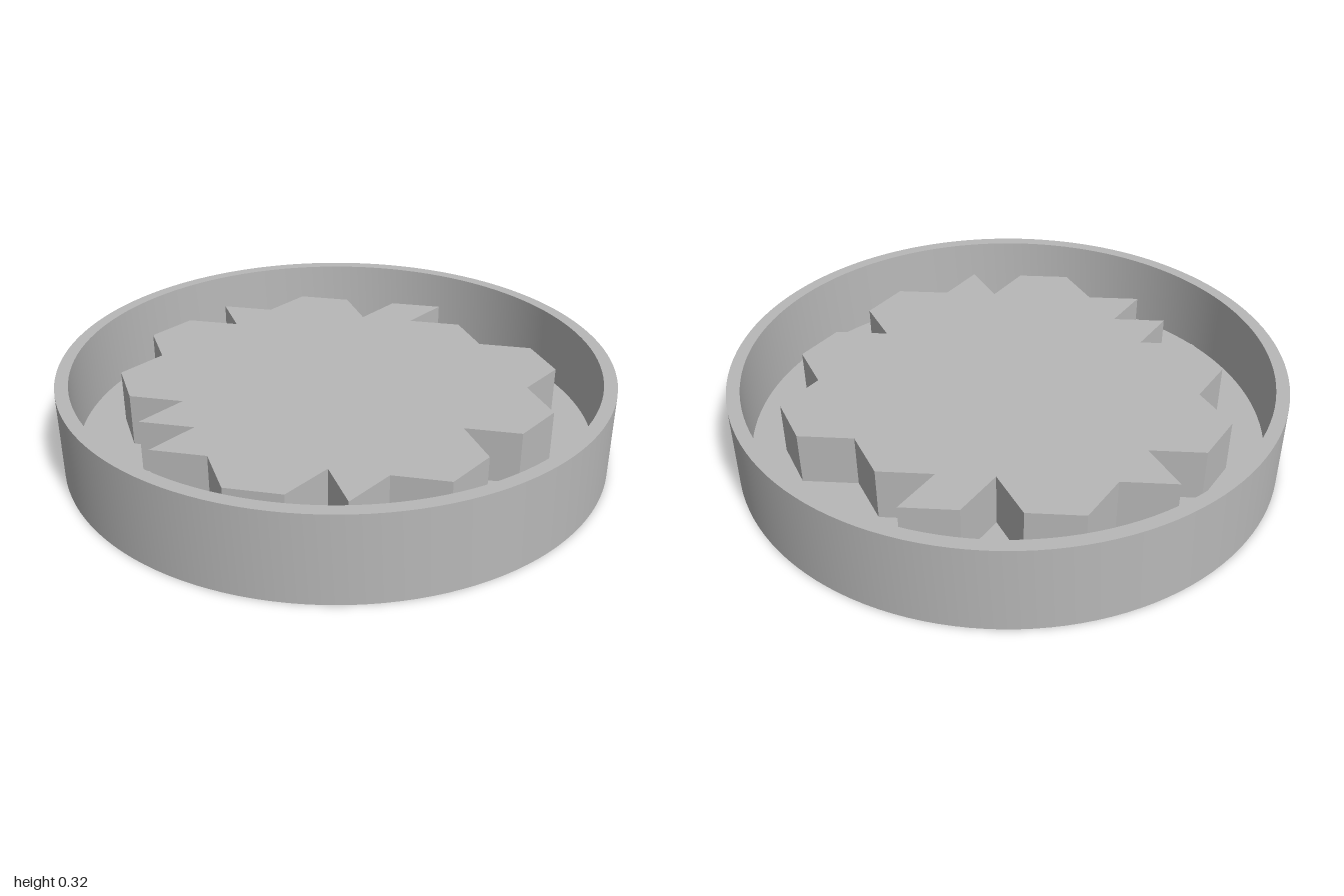
import * as THREE from 'three';
import { toCreasedNormals } from 'three/addons/utils/BufferGeometryUtils.js';

const HEIGHT = 0.32, FLOOR = 0.05, PLATEAU_TOP = 0.245;
const STEP = 0.0989;                 // half the side of the triangular lattice
const ROW = STEP * Math.sqrt(3);     // lattice row spacing
const FIRST_ROW = -0.744;            // z of the rearmost row

// Plateau outline as [column, row] on the triangular lattice
const OUTLINE = [
  [-3, 0], [-1, 0], [0, 1], [1, 0], [3, 0], [2, 1], [4, 1], [5, 2], [7, 2],
  [8, 3], [7, 4], [8, 5], [7, 6], [5, 6], [6, 7], [5, 8], [3, 8], [2, 9],
  [1, 8], [0, 9], [-2, 9], [-3, 8], [-5, 8], [-4, 7], [-6, 7], [-5, 6],
  [-7, 6], [-8, 5], [-7, 4], [-8, 3], [-7, 2], [-5, 2], [-6, 1], [-4, 1],
];

export function createModel() {
  const group = new THREE.Group();
  const grey = new THREE.MeshStandardMaterial({ color: 0xb8b8b8 });
  grey.name = 'grey';

  // Shallow round tray: underside, outer wall, rim, inner wall, floor
  const profile = [
    [0, 0], [1, 0], [1, HEIGHT], [0.953, HEIGHT], [0.947, FLOOR], [0, FLOOR],
  ].map(([r, y]) => new THREE.Vector2(r, y));
  const tray = new THREE.Mesh(
    toCreasedNormals(new THREE.LatheGeometry(profile, 128), Math.PI / 6), grey);
  tray.name = 'tray';
  group.add(tray);

  // Jagged raised plateau standing on the tray floor
  const shape = new THREE.Shape(OUTLINE.map(([c, r]) =>
    new THREE.Vector2(c * STEP, -(FIRST_ROW + r * ROW))));
  const geometry = new THREE.ExtrudeGeometry(shape, {
    depth: PLATEAU_TOP - FLOOR, bevelEnabled: false,
  });
  geometry.rotateX(-Math.PI / 2);
  const plateau = new THREE.Mesh(geometry, grey);
  plateau.name = 'plateau';
  plateau.position.y = FLOOR;
  group.add(plateau);

  return group;
}
